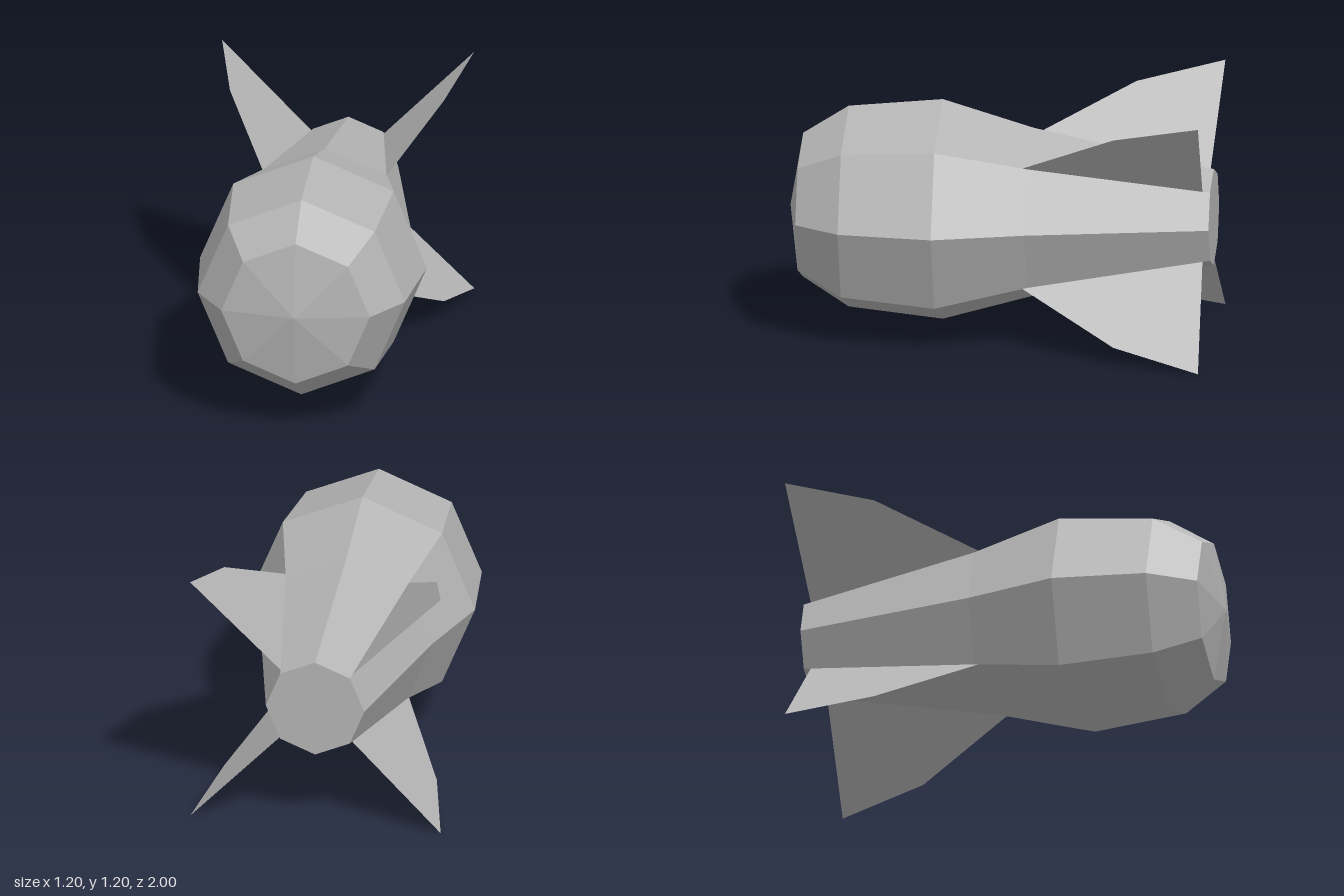
import * as THREE from 'three';

export function createModel() {
  const model = new THREE.Group();
  model.name = 'finnedBomb';
  const grey = new THREE.MeshStandardMaterial({ color: 0xb4b4b4, flatShading: true });
  grey.name = 'grey';
  const finGrey = new THREE.MeshStandardMaterial({ color: 0xb4b4b4, flatShading: true, side: THREE.DoubleSide });
  finGrey.name = 'fin grey';
  const centreY = 0.598;

  // Eight-sided hull, nose towards +z, closed flat at the tail
  const profile = [
    [0, -1], [0.235, -1], [0.41, -0.15], [0.537, 0.28],
    [0.491, 0.725], [0.352, 0.94], [0, 1],
  ].map(([r, z]) => new THREE.Vector2(r, z));
  const hull = new THREE.Mesh(new THREE.LatheGeometry(profile, 8).rotateX(Math.PI / 2), grey);
  hull.name = 'hull';
  hull.position.y = centreY;
  model.add(hull);

  // Paper-thin tail fins along the four diagonal edges (radius, z)
  const outline = [[0.405, -0.11], [0.717, -0.58], [0.845, -0.99], [0.24, -0.965]]
    .map(([r, z]) => new THREE.Vector2(r, z));
  const finGeometry = new THREE.ShapeGeometry(new THREE.Shape(outline)).rotateX(Math.PI / 2);
  ['upperLeft', 'upperRight', 'lowerRight', 'lowerLeft'].forEach((corner, i) => {
    const fin = new THREE.Mesh(finGeometry, finGrey);
    fin.name = corner + 'Fin';
    fin.position.y = centreY;
    fin.rotation.z = Math.PI / 4 + i * Math.PI / 2;
    model.add(fin);
  });

  return model;
}
